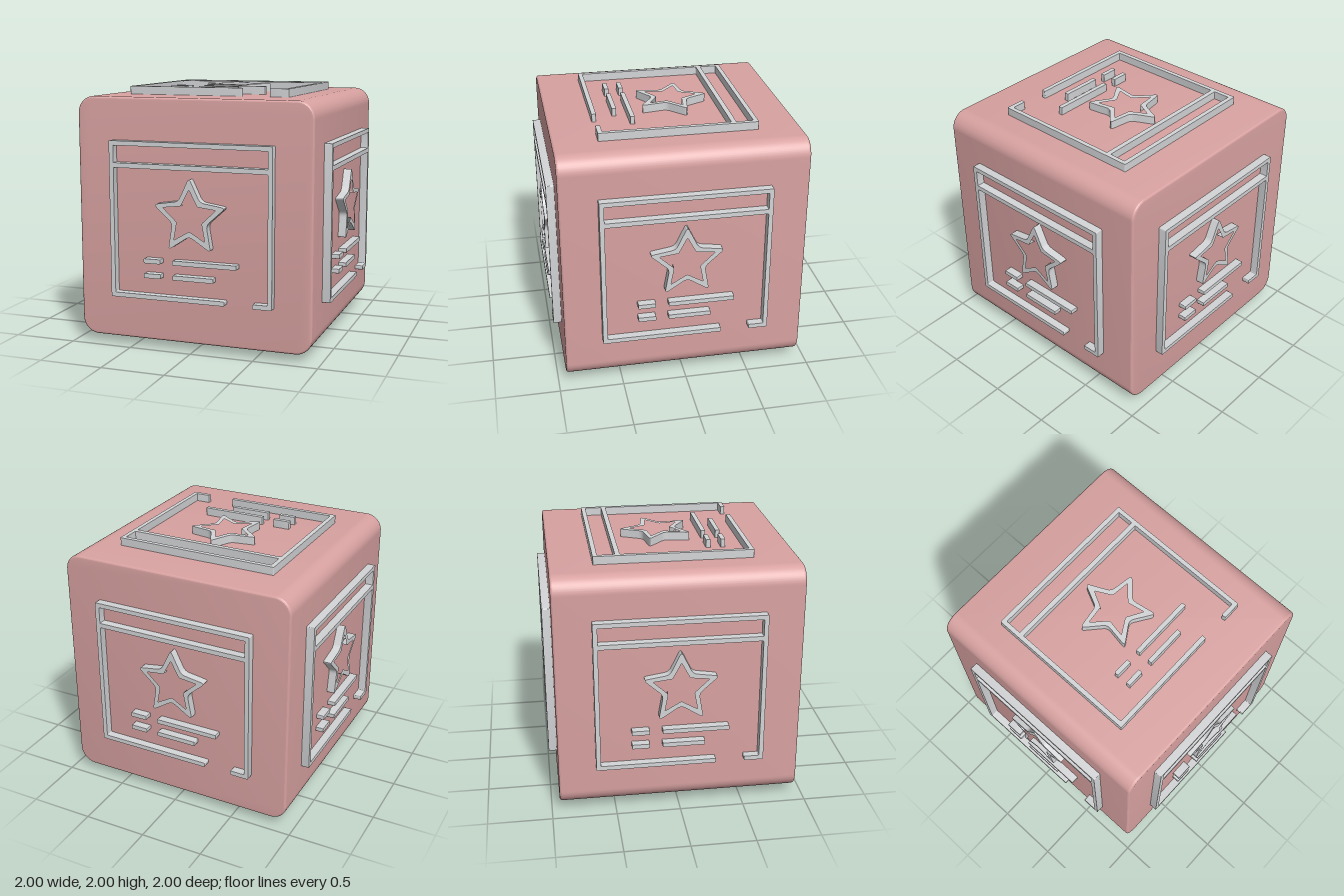
import * as THREE from 'three';
import { toCreasedNormals } from 'three/addons/utils/BufferGeometryUtils.js';

const HALF = 0.937; // half size of the cube body
const BASE = 0.92;  // reliefs start just inside the body and rise to 1

// Closed path with every corner rounded by distance r
function roundedPath(target, points, r) {
  const v = points.map(([x, y]) => new THREE.Vector2(x, y));
  v.forEach((p, i) => {
    const prev = v[(i + v.length - 1) % v.length];
    const next = v[(i + 1) % v.length];
    const toward = (q) => {
      const d = q.clone().sub(p);
      return p.clone().add(d.setLength(Math.min(r, d.length() * 0.45)));
    };
    const a = toward(prev), b = toward(next);
    if (i === 0) target.moveTo(a.x, a.y);
    else target.lineTo(a.x, a.y);
    target.quadraticCurveTo(p.x, p.y, b.x, b.y);
  });
  target.closePath();
  return target;
}

// Five-pointed outline from its right half, mirrored to the left
function mirrorStar(top, side, bottom) {
  return [top, ...side, bottom, ...side.map(([x, y]) => [-x, y]).reverse()];
}

function rect(x0, x1, y0, y1) {
  return [[x0, y0], [x1, y0], [x1, y1], [x0, y1]];
}

function relief(shapes) {
  const geo = new THREE.ExtrudeGeometry(shapes, { depth: 1 - BASE, bevelEnabled: false, curveSegments: 4 });
  geo.translate(0, 0, BASE);
  return toCreasedNormals(geo, 0.5);
}

function bodyGeometry() {
  const r = 0.13, bevel = 0.02, h = HALF, c = HALF - r;
  const s = new THREE.Shape();
  s.absarc(c, c, r, 0, Math.PI / 2);
  s.absarc(-c, c, r, Math.PI / 2, Math.PI);
  s.absarc(-c, -c, r, Math.PI, Math.PI * 1.5);
  s.absarc(c, -c, r, Math.PI * 1.5, Math.PI * 2);
  const geo = new THREE.ExtrudeGeometry(s, {
    depth: 2 * (h - bevel), curveSegments: 16,
    bevelThickness: bevel, bevelSize: bevel, bevelOffset: -bevel, bevelSegments: 4,
  });
  geo.translate(0, 0, -(h - bevel));
  return toCreasedNormals(geo, 0.2);
}

export function createModel() {
  const pink = new THREE.MeshStandardMaterial({ color: 0xd8a2a1 });
  pink.name = 'dusty pink';
  const grey = new THREE.MeshStandardMaterial({ color: 0xd4d5d7 });
  grey.name = 'light grey';

  const model = new THREE.Group();
  model.name = 'starCube';
  const body = new THREE.Mesh(bodyGeometry(), pink);
  body.name = 'cubeBody';
  model.add(body);

  // Window frame with a header slot and a gap in the bottom bar
  const frame = roundedPath(new THREE.Shape(), [
    [-0.65, 0.61], [-0.65, -0.6], [0.275, -0.6], [0.275, -0.565],
    [-0.615, -0.565], [-0.615, 0.406], [0.613, 0.406], [0.613, -0.565],
    [0.497, -0.565], [0.497, -0.6], [0.647, -0.6], [0.647, 0.61],
  ], 0.008);
  frame.holes.push(roundedPath(new THREE.Path(), rect(-0.615, 0.613, 0.443, 0.575), 0.003));

  // Hollow star with blunt tips
  const star = roundedPath(new THREE.Shape(), mirrorStar(
    [0, 0.355], [[0.087, 0.173], [0.288, 0.142], [0.136, 0.005], [0.171, -0.2]], [0, -0.088]), 0.035);
  star.holes.push(roundedPath(new THREE.Path(), mirrorStar(
    [0, 0.264], [[0.066, 0.139], [0.212, 0.122], [0.099, 0.016], [0.124, -0.122]], [0, -0.05]), 0.008));

  // Two rows of short and long text-like bars
  const bars = [
    [-0.374, -0.238, -0.318, -0.283], [-0.139, 0.372, -0.318, -0.283],
    [-0.374, -0.238, -0.433, -0.398], [-0.139, 0.187, -0.433, -0.398],
  ].map((b) => roundedPath(new THREE.Shape(), rect(...b), 0.005));

  const parts = { windowFrame: relief(frame), starOutline: relief(star), lineBars: relief(bars) };

  // Same relief on all six faces
  const q = Math.PI / 2;
  const faces = {
    front: [0, 0], left: [0, q], back: [0, 2 * q], right: [0, -q], top: [-q, 0], bottom: [q, 0],
  };
  for (const [name, [rx, ry]] of Object.entries(faces)) {
    const side = new THREE.Group();
    side.name = name + 'Relief';
    side.rotation.set(rx, ry, 0);
    for (const [part, geo] of Object.entries(parts)) {
      const mesh = new THREE.Mesh(geo, grey);
      mesh.name = part;
      side.add(mesh);
    }
    model.add(side);
  }

  // Lift so the lowest relief rests on the ground
  for (const child of model.children) child.position.y = 1;
  return model;
}
